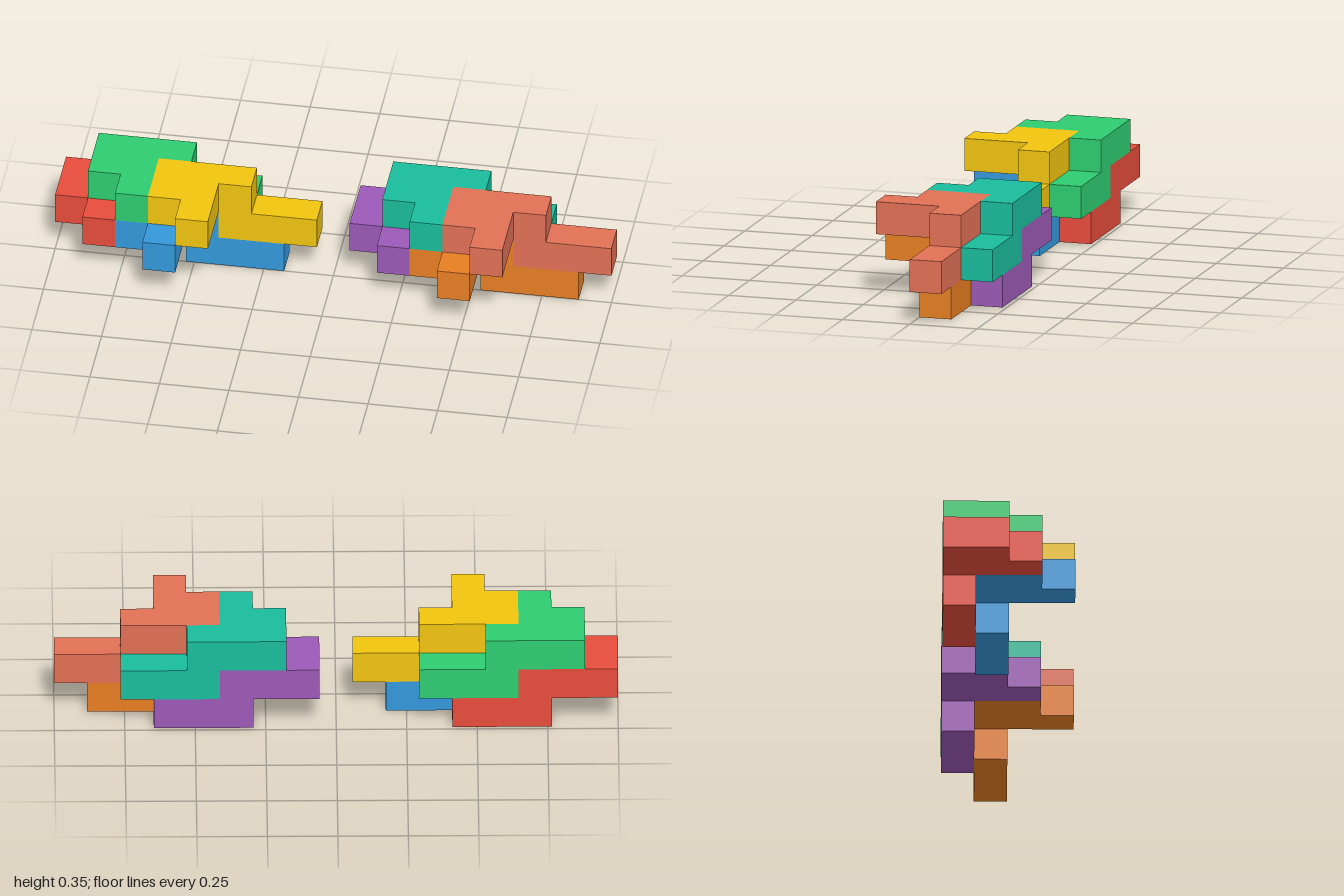
import * as THREE from 'three';
import { mergeGeometries } from 'three/addons/utils/BufferGeometryUtils.js';

const U = 2 / 17; // edge of one unit cube

// One piece as unit cells [x, y, z]: a stepped plate on top, a bar hanging one layer lower
const CELLS = [
  [0, 1, 0], [1, 1, 0], [2, 1, 0], [0, 1, 1], [1, 1, 1], [1, 1, 2],
  [2, 0, 0], [3, 0, 0], [4, 0, 0],
];

// Outward direction of each cube side and the rotation that turns a +z plane to it
const SIDES = [
  [[0, 0, 1], 0, 0], [[0, 0, -1], 0, Math.PI],
  [[1, 0, 0], 0, Math.PI / 2], [[-1, 0, 0], 0, -Math.PI / 2],
  [[0, 1, 0], -Math.PI / 2, 0], [[0, -1, 0], Math.PI / 2, 0],
];

// Closed skin of a set of cells: only sides without a neighbour are kept
function polycube(cells) {
  const filled = new Set(cells.map(String));
  const faces = [];
  for (const cell of cells) {
    for (const [dir, rx, ry] of SIDES) {
      if (filled.has(String(cell.map((c, i) => c + dir[i])))) continue;
      const centre = cell.map((c, i) => (c + 0.5 + dir[i] / 2) * U);
      faces.push(new THREE.PlaneGeometry(U, U).rotateX(rx).rotateY(ry).translate(...centre));
    }
  }
  return mergeGeometries(faces);
}

// Where the four interlocking pieces of a cluster sit, in cells
const PLACES = [
  ['upperFrontPiece', 3, 1, 1],
  ['upperBackPiece', 1, 1, 0],
  ['lowerFrontPiece', 2, 0, 1],
  ['lowerBackPiece', 0, 0, 0],
];

const CLUSTERS = [
  ['rightCluster', 0, [0xf1c40f, 0x2ecc71, 0x3498db, 0xe74c3c]],
  ['leftCluster', 9, [0xe17055, 0x1abc9c, 0xe67e22, 0x9b59b6]],
];

export function createModel() {
  const model = new THREE.Group();
  model.name = 'interlockingCubePieces';
  const geometry = polycube(CELLS);

  for (const [clusterName, start, colors] of CLUSTERS) {
    const cluster = new THREE.Group();
    cluster.name = clusterName;
    cluster.position.set(-1 + start * U, 0, -2 * U);
    PLACES.forEach(([name, x, y, z], i) => {
      const piece = new THREE.Mesh(geometry, new THREE.MeshStandardMaterial({ color: colors[i] }));
      piece.name = name;
      piece.position.set(x * U, y * U, z * U);
      cluster.add(piece);
    });
    model.add(cluster);
  }
  return model;
}
